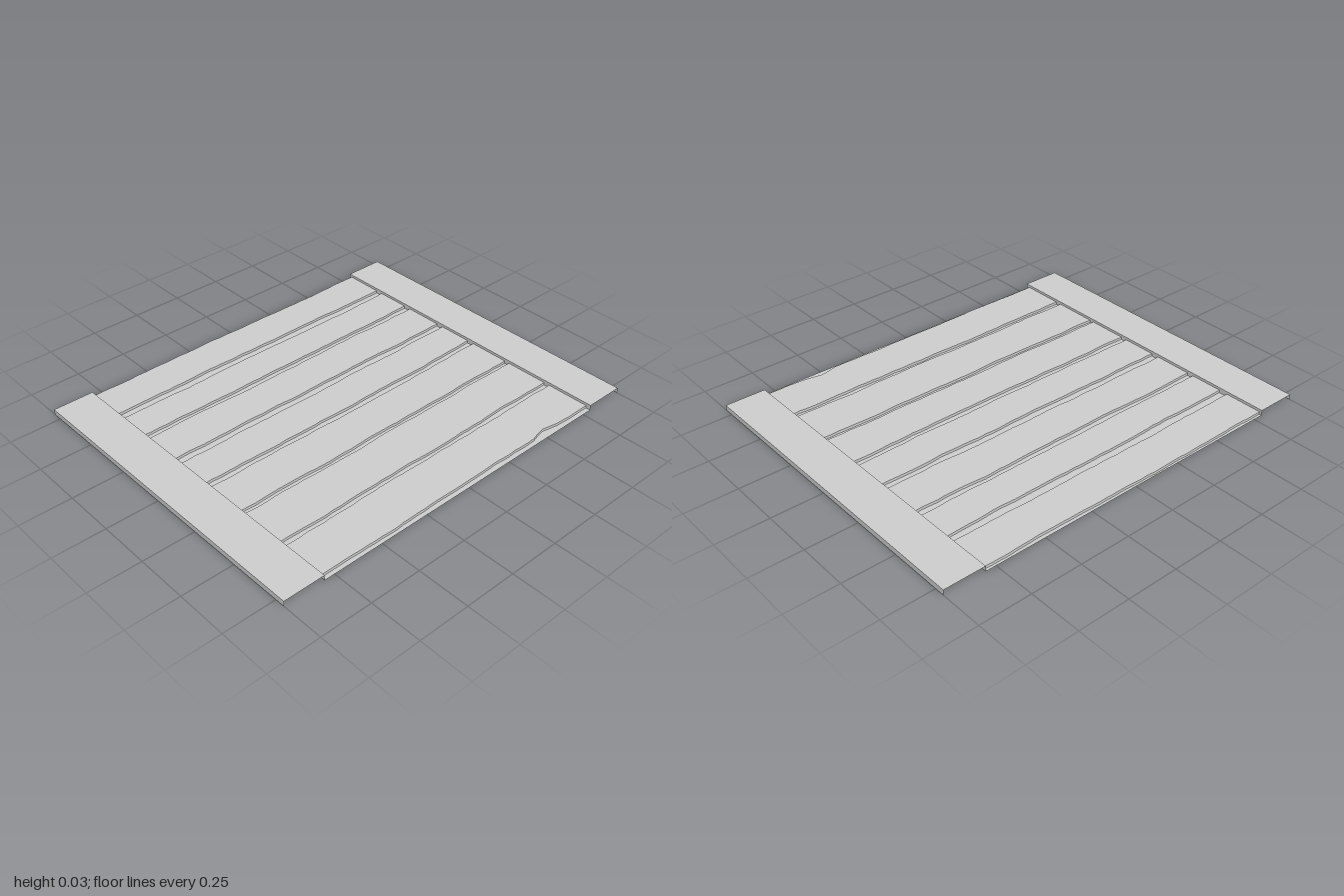
import * as THREE from 'three';

const HALF_X = 0.8, HALF_Z = 0.797, PLANK_Y = 0.013, RAIL_Y = 0.026, STEPS = 40;
const material = new THREE.MeshStandardMaterial({
  color: 0xcccccc, flatShading: true, side: THREE.DoubleSide,
});

// Open sheet through a list of cross-sections, each a list of [x, y, z]
function sheet(name, rows) {
  const positions = [];
  for (let i = 0; i < rows.length - 1; i++) {
    for (let j = 0; j < rows[i].length - 1; j++) {
      const a = rows[i][j], b = rows[i][j + 1], c = rows[i + 1][j], d = rows[i + 1][j + 1];
      positions.push(...a, ...b, ...c, ...b, ...d, ...c);
    }
  }
  const geometry = new THREE.BufferGeometry();
  geometry.setAttribute('position', new THREE.Float32BufferAttribute(positions, 3));
  geometry.computeVertexNormals();
  const mesh = new THREE.Mesh(geometry, material);
  mesh.name = name;
  return mesh;
}

// Slightly ragged edge line at depth z, different for each seed
function raggedEdge(z, seed) {
  let s = seed * 7919 + 17;
  const random = () => (s = (s * 16807) % 2147483647) / 2147483647;
  for (let i = 0; i < 5; i++) random();
  let drift = 0;
  return Array.from({ length: STEPS + 1 }, () => {
    drift = drift * 0.75 + (random() - 0.5) * 0.006;
    return z + drift;
  });
}

export function createModel() {
  const group = new THREE.Group();
  group.name = 'plankPanel';

  // Back and front edge of each plank, from back to front
  const planks = [
    [-0.785, -0.595], [-0.55, -0.387], [-0.352, -0.16], [-0.12, 0.055],
    [0.088, 0.29], [0.313, 0.53], [0.56, 0.775],
  ];
  const edges = planks.flat().map((z, i) => raggedEdge(z, i + 1));
  // Chip in the front edge
  const last = edges[edges.length - 1];
  const xs = Array.from({ length: STEPS + 1 }, (_, i) => -HALF_X + (2 * HALF_X * i) / STEPS);
  xs.forEach((x, i) => { last[i] -= 0.018 * Math.exp(-(((x - 0.52) / 0.07) ** 2)); });

  // Raised planks: back wall, top, front wall
  planks.forEach((_, p) => {
    const back = edges[2 * p], front = edges[2 * p + 1];
    group.add(sheet('plank', xs.map((x, i) => [
      [x, 0, back[i]], [x, PLANK_Y, back[i]], [x, PLANK_Y, front[i]], [x, 0, front[i]],
    ])));
  });

  // Groove floors between the planks and along the outer borders
  const straight = (z) => xs.map(() => z);
  const borders = [straight(-HALF_Z), ...edges, straight(HALF_Z)];
  for (let b = 0; b < borders.length; b += 2) {
    group.add(sheet('grooveFloor', xs.map((x, i) => [
      [x, 0, borders[b][i]], [x, 0, borders[b + 1][i]],
    ])));
  }

  // Side rails: open channels with an inner wall, a top and an outer wall
  for (const [name, x0, x1] of [['rightRail', -1, -HALF_X], ['leftRail', HALF_X, 1]]) {
    group.add(sheet(name, [HALF_Z, -HALF_Z].map((z) => [
      [x0, 0, z], [x0, RAIL_Y, z], [x1, RAIL_Y, z], [x1, 0, z],
    ])));
  }
  return group;
}
